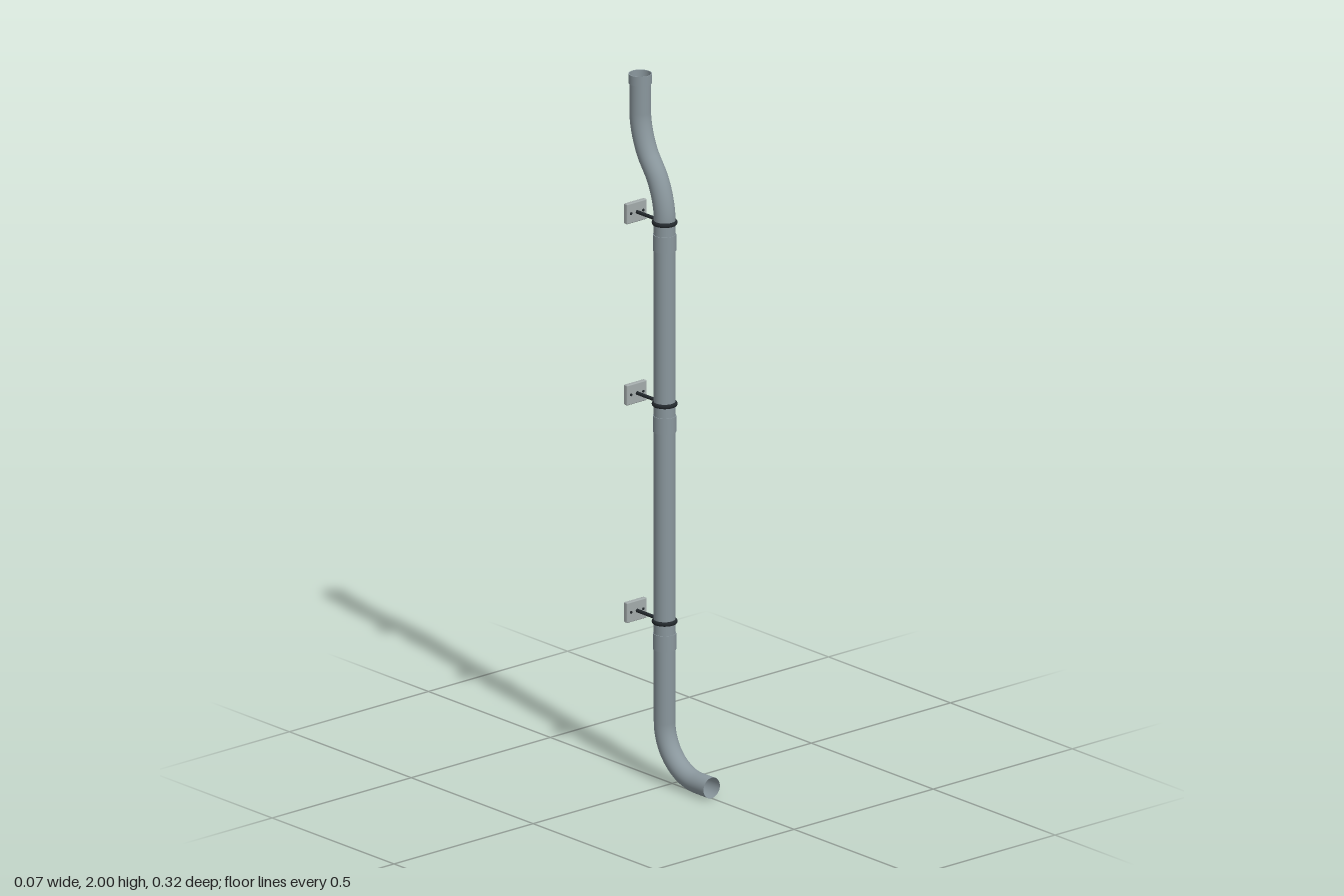
import * as THREE from 'three';
import { RoundedBoxGeometry } from 'three/addons/geometries/RoundedBoxGeometry.js';

const R = 0.0295;      // pipe radius
const Z = -0.031;      // axis of the main run
const Z_TOP = -0.131;  // axis of the offset inlet

export function createModel() {
  const model = new THREE.Group();
  const pipeMat = new THREE.MeshStandardMaterial({ color: 0x8a979d, side: THREE.DoubleSide });
  const darkMat = new THREE.MeshStandardMaterial({ color: 0x23292d });
  const plateMat = new THREE.MeshStandardMaterial({ color: 0xa3abab });

  const add = (parent, name, geo, mat, x = 0, y = 0, z = 0) => {
    const mesh = new THREE.Mesh(geo, mat);
    mesh.name = name;
    mesh.position.set(x, y, z);
    parent.add(mesh);
    return mesh;
  };
  const v = (y, z) => new THREE.Vector3(0, y, z);

  // Pipe through [y, z] corners, each rounded over the given length
  const bentPipe = (name, corners, round, segments) => {
    const pts = corners.map(([y, z]) => v(y, z));
    const path = new THREE.CurvePath();
    let from = pts[0];
    for (let i = 1; i < pts.length - 1; i++) {
      const p = pts[i];
      const a = p.clone().add(pts[i - 1].clone().sub(p).setLength(round));
      const b = p.clone().add(pts[i + 1].clone().sub(p).setLength(round));
      path.add(new THREE.LineCurve3(from, a));
      // cubic handles at 0.55 approximate a circular bend
      path.add(new THREE.CubicBezierCurve3(a, a.clone().lerp(p, 0.55), b.clone().lerp(p, 0.55), b));
      from = b;
    }
    path.add(new THREE.LineCurve3(from, pts[pts.length - 1]));
    add(model, name, new THREE.TubeGeometry(path, segments, R, 32), pipeMat);
  };

  // Hollow collar with square edges, starting at y = 0
  const collar = (height, inner, outer) => {
    const ring = [[inner, 0], [outer, 0], [outer, height], [inner, height], [inner, 0]];
    const pts = [];
    // doubled corners keep the edges crisp
    ring.forEach(([r, y], i) => {
      pts.push(new THREE.Vector2(r, y));
      if (i > 0 && i < 4) pts.push(new THREE.Vector2(r, y));
    });
    return new THREE.LatheGeometry(pts, 40);
  };

  // Pipe run: outlet elbow, straight lengths, offset inlet
  bentPipe('outletElbow', [[0.03, 0.162], [0.03, Z], [0.4, Z]], 0.14, 70);
  const joints = [0.4, 1.025, 1.545];
  for (let i = 0; i < 2; i++) {
    const h = joints[i + 1] - joints[i];
    add(model, 'straightPipe', new THREE.CylinderGeometry(R, R, h, 32, 1, true), pipeMat, 0, joints[i] + h / 2, Z);
  }
  bentPipe('offsetInlet', [[1.545, Z], [1.68, Z], [1.82, Z_TOP], [1.998, Z_TOP]], 0.07, 80);
  add(model, 'inletCollar', collar(0.027, 0.029, 0.032), pipeMat, 0, 1.973, Z_TOP);

  // Sleeves and wall brackets
  for (const y of [0.458, 1.081, 1.6]) {
    add(model, 'jointSleeve', collar(0.046, 0.029, 0.0315), pipeMat, 0, y - 0.08, Z);

    const bracket = new THREE.Group();
    bracket.name = 'wallBracket';
    bracket.position.set(0, y, Z);
    model.add(bracket);

    const clamp = new THREE.TorusGeometry(0.0305, 0.0045, 12, 40);
    clamp.rotateX(Math.PI / 2);
    clamp.scale(1, 1.4, 1);
    add(bracket, 'clampRing', clamp, darkMat);

    const rod = new THREE.CylinderGeometry(0.005, 0.005, 0.086, 16);
    rod.rotateX(Math.PI / 2);
    add(bracket, 'rod', rod, darkMat, 0, 0, -0.074);

    add(bracket, 'wallPlate', new RoundedBoxGeometry(0.072, 0.058, 0.014, 2, 0.003), plateMat, 0, 0, -0.12);

    for (const side of [-1, 1]) {
      const screw = new THREE.CylinderGeometry(0.004, 0.004, 0.002, 16);
      screw.rotateX(Math.PI / 2);
      add(bracket, 'screw', screw, darkMat, side * 0.022, 0, -0.1125);
    }
  }
  return model;
}
